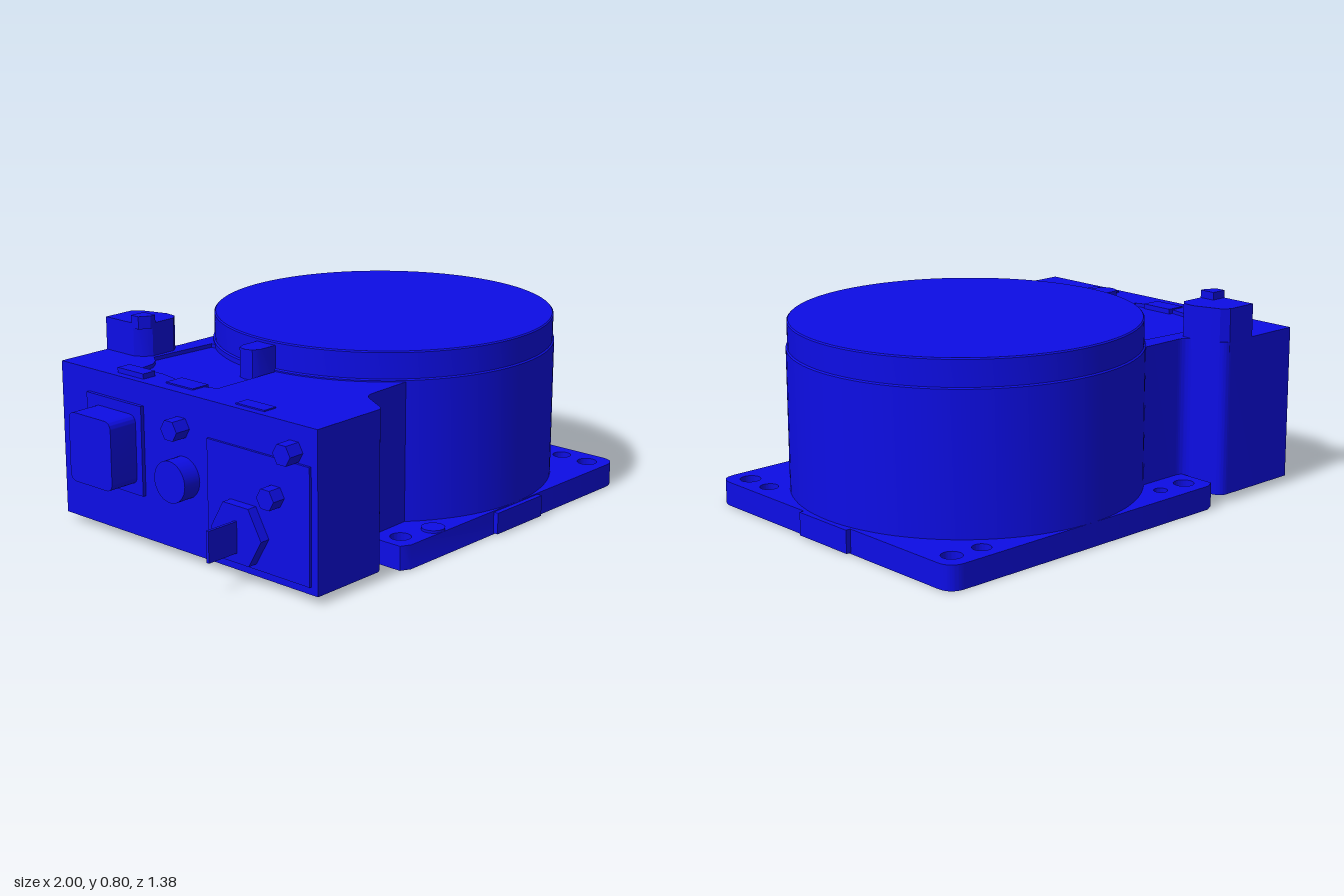
import * as THREE from 'three';
import { toCreasedNormals } from 'three/addons/utils/BufferGeometryUtils.js';

const CX = 0.3, CZ = -0.01; // drum axis

export function createModel() {
  const model = new THREE.Group();
  model.name = 'drumSensor';
  const blue = new THREE.MeshStandardMaterial({ color: 0x0d0de6 });

  const add = (name, geo, x = 0, y = 0, z = 0) => {
    const mesh = new THREE.Mesh(toCreasedNormals(geo, 0.5), blue);
    mesh.name = name;
    mesh.position.set(x, y, z);
    model.add(mesh);
    return mesh;
  };
  // Box given by its limits
  const box = (name, x0, x1, y0, y1, z0, z1) =>
    add(name, new THREE.BoxGeometry(x1 - x0, y1 - y0, z1 - z0), (x0 + x1) / 2, (y0 + y1) / 2, (z0 + z1) / 2);
  // Plan outlines are [x, z] points, raised from y0 to y1
  const pts = (list) => list.map(([x, z]) => new THREE.Vector2(x, -z));
  const circle = (x, z, r) => new THREE.Path().absarc(x, -z, r, 0, Math.PI * 2, true);
  const raise = (name, shape, y0, y1, holes = []) => {
    shape.holes.push(...holes);
    const geo = new THREE.ExtrudeGeometry(shape, { depth: y1 - y0, bevelEnabled: false, curveSegments: 32 });
    return add(name, geo.rotateX(-Math.PI / 2), 0, y0, 0);
  };
  // Cylinder pointing out of the connector face, from x0 (outer) to x1
  const plug = (name, x0, x1, y, z, r, sides = 32) =>
    add(name, new THREE.CylinderGeometry(r, r, x1 - x0, sides).rotateZ(Math.PI / 2), (x0 + x1) / 2, y, z);

  // Base plate with rounded outer corners and mounting holes
  const base = new THREE.Shape();
  base.moveTo(-0.37, -0.65);
  base.lineTo(-0.33, -0.67);
  base.lineTo(0.91, -0.67);
  base.quadraticCurveTo(0.98, -0.67, 0.98, -0.6);
  base.lineTo(0.98, 0.62);
  base.quadraticCurveTo(0.98, 0.69, 0.91, 0.69);
  base.lineTo(-0.33, 0.69);
  base.lineTo(-0.37, 0.67);
  const holes = [
    [-0.29, -0.6, 0.04], [-0.16, -0.6, 0.027], [0.765, -0.61, 0.036], [0.895, -0.6, 0.04],
    [0.9, 0.455, 0.036], [0.895, 0.585, 0.04], [-0.29, 0.585, 0.04],
  ].map((h) => circle(...h));
  raise('basePlate', base, 0, 0.095, [...holes, circle(CX, CZ, 0.6)]);
  box('frontTab', 0.16, 0.44, 0.005, 0.09, 0.6, 0.69);
  box('sideTab', 0.93, 1.0, 0.005, 0.095, -0.145, 0.13);
  add('plateBoss', new THREE.CylinderGeometry(0.045, 0.045, 0.02, 24), -0.15, 0.095, 0.625);

  // Drum body with a groove under its cap
  const profile = [[0, 0.008], [0.61, 0.008], [0.61, 0.09], [0.68, 0.09], [0.68, 0.645], [0.674, 0.65],
    [0.674, 0.75], [0.669, 0.755], [0, 0.755]].map(([r, y]) => new THREE.Vector2(r, y));
  add('drum', new THREE.LatheGeometry(profile, 96), CX, 0, CZ);

  // Electronics housing, its flanks sweeping in to the drum
  const outline = () => {
    const s = new THREE.Shape();
    s.moveTo(-0.81, -0.65);
    s.lineTo(-0.5, -0.65);
    s.quadraticCurveTo(-0.475, -0.65, -0.46, -0.625);
    s.lineTo(-0.41, -0.535);
    s.quadraticCurveTo(-0.39, -0.5, -0.35, -0.5);
    s.lineTo(-0.1, -0.49);
    s.lineTo(0.1, -0.3);
    s.lineTo(0.1, 0.3);
    s.lineTo(-0.1, 0.51);
    s.lineTo(-0.34, 0.51);
    s.quadraticCurveTo(-0.38, 0.51, -0.39, 0.55);
    s.lineTo(-0.42, 0.65);
    s.quadraticCurveTo(-0.43, 0.675, -0.46, 0.675);
    s.lineTo(-0.81, 0.675);
    return s;
  };
  const pocket = new THREE.Path(pts([
    [-0.68, 0.04], [-0.25, 0.04], [-0.25, -0.43], [-0.54, -0.45], [-0.57, -0.41],
    [-0.61, -0.38], [-0.68, -0.37], [-0.68, -0.25], [-0.7, -0.15], [-0.7, -0.01],
  ]));
  raise('housing', outline(), 0.03, 0.625);
  raise('housingTop', outline(), 0.625, 0.64, [pocket]);

  // Corner pillar and features on top of the housing
  const pillar = new THREE.Shape(pts([
    [-0.58, -0.675], [-0.45, -0.675], [-0.42, -0.65], [-0.385, -0.54], [-0.39, -0.49],
    [-0.42, -0.465], [-0.53, -0.465], [-0.56, -0.485], [-0.58, -0.52],
  ]));
  raise('pillar', pillar, 0.6, 0.77);
  raise('pillarKnob', new THREE.Shape(pts([
    [-0.58, -0.53], [-0.515, -0.53], [-0.515, -0.465], [-0.54, -0.465], [-0.58, -0.49],
  ])), 0.75, 0.8);
  raise('drumLatch', new THREE.Shape(pts([
    [-0.33, 0.035], [-0.45, 0.035], [-0.48, 0.02], [-0.49, -0.012], [-0.48, -0.045], [-0.45, -0.06], [-0.33, -0.06],
  ])), 0.6, 0.74);
  box('topPad', -0.78, -0.72, 0.62, 0.66, -0.39, -0.25);
  box('topPad', -0.78, -0.72, 0.62, 0.645, 0.23, 0.37);
  box('topPad', -0.76, -0.68, 0.6, 0.645, -0.15, -0.01);

  // Connectors on the end face
  box('connectorGasket', -0.825, -0.8, 0.2, 0.55, -0.52, -0.22);
  box('connectorGasket', -0.82, -0.8, 0.06, 0.5, 0.12, 0.62);
  const socket = new THREE.Shape();
  const w = 0.115, h = 0.135, r = 0.035;
  socket.moveTo(-w + r, -h);
  socket.lineTo(w - r, -h);
  socket.quadraticCurveTo(w, -h, w, -h + r);
  socket.lineTo(w, h - r);
  socket.quadraticCurveTo(w, h, w - r, h);
  socket.lineTo(-w + r, h);
  socket.quadraticCurveTo(-w, h, -w, h - r);
  socket.lineTo(-w, -h + r);
  socket.quadraticCurveTo(-w, -h, -w + r, -h);
  add('largeConnector', new THREE.ExtrudeGeometry(socket, { depth: 0.15, bevelEnabled: false })
    .rotateY(-Math.PI / 2), -0.8, 0.375, -0.365);
  plug('roundConnector', -0.885, -0.8, 0.32, -0.01, 0.08);
  plug('hexFlange', -0.86, -0.8, 0.19, 0.3, 0.125, 6);
  box('flatBlade', -1.0, -0.85, 0.12, 0.24, 0.294, 0.306);
  for (const [y, z] of [[0.51, -0.02], [0.36, 0.46], [0.54, 0.54]]) plug('hexScrew', -0.875, -0.8, y, z, 0.042, 6);

  return model;
}
